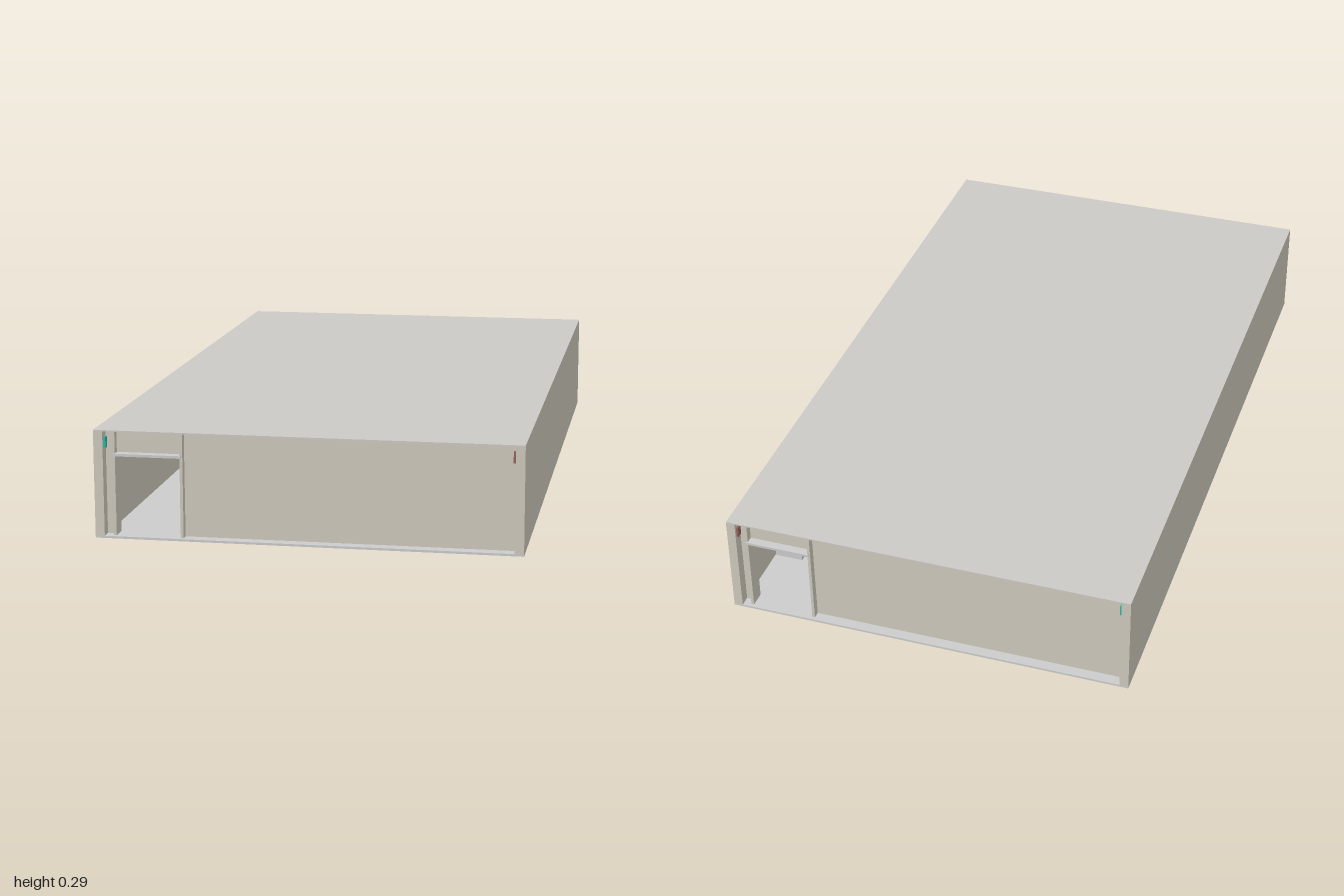
import * as THREE from 'three';

const W = 0.57, H = 0.293, FLOOR = 0.006, ROOF = 0.004, SIDE = 0.025;
const mat = (color) => new THREE.MeshStandardMaterial({ color });

export function createModel() {
  const model = new THREE.Group();
  const wall = mat(0xcfc9bb), grey = mat(0xcccccc), roofMat = mat(0xcccac5);
  const teal = mat(0x2fb5a5), red = mat(0x96605a);

  // Box given by its extents on each axis
  function box(parent, name, x0, x1, y0, y1, z0, z1, material) {
    const mesh = new THREE.Mesh(new THREE.BoxGeometry(x1 - x0, y1 - y0, z1 - z0), material);
    mesh.position.set((x0 + x1) / 2, (y0 + y1) / 2, (z0 + z1) / 2);
    mesh.name = name;
    parent.add(mesh);
    return mesh;
  }

  // Shell: floor, roof and the two long walls
  box(model, 'floor', -W, W, 0, FLOOR, -1, 1, grey);
  box(model, 'roof', -W, W, H - ROOF, H, -1, 1, roofMat);
  for (const s of [-1, 1]) {
    const side = box(model, s > 0 ? 'leftWall' : 'rightWall', -SIDE / 2, SIDE / 2, FLOOR, H - ROOF, -1, 1, wall);
    side.position.x = s * (W - SIDE / 2);
  }

  // Recessed end wall with a doorway, posts and lintel; the back one is turned half round
  const inner = W - SIDE, top = H - ROOF;
  const d0 = -0.515, d1 = -0.34, doorTop = 0.222;
  for (const end of ['front', 'back']) {
    const g = new THREE.Group();
    g.name = end + 'End';
    const shape = new THREE.Shape();
    [[-inner, FLOOR], [d0, FLOOR], [d0, doorTop], [d1, doorTop], [d1, FLOOR],
      [inner, FLOOR], [inner, top], [-inner, top]]
      .forEach(([x, y], i) => (i ? shape.lineTo(x, y) : shape.moveTo(x, y)));
    const panel = new THREE.Mesh(
      new THREE.ExtrudeGeometry(shape, { depth: 0.02, bevelEnabled: false }), wall);
    panel.position.z = 0.95;
    panel.name = 'endWall';
    g.add(panel);
    box(g, 'doorPost', d0 - 0.008, d0, FLOOR, top, 0.945, 0.99, wall);
    box(g, 'doorPost', d1, d1 + 0.008, FLOOR, top, 0.945, 0.99, wall);
    box(g, 'lintel', d0 - 0.005, d1 + 0.003, doorTop, 0.229, 0.945, 0.994, grey);
    if (end === 'back') g.rotation.y = Math.PI;
    model.add(g);

    // Small side lamps under the eaves, one colour per side
    const z = end === 'front' ? 0.985 : -0.985;
    box(model, 'tealLamp', -inner, -inner + 0.006, 0.243, 0.273, z - 0.008, z + 0.008, teal);
    box(model, 'redLamp', inner - 0.006, inner, 0.243, 0.273, z - 0.008, z + 0.008, red);
  }

  // Fittings seen through the doorways
  box(model, 'longCounter', 0.462, 0.543, -0.0005, 0.155, -0.77, 0.78, grey);
  box(model, 'smallCabinet', -0.165, -0.075, -0.0005, 0.155, -0.94, -0.82, grey);
  box(model, 'lockerRow', -0.545, -0.495, FLOOR, 0.195, -0.6, 0.2, grey);
  box(model, 'middleCounter', -0.357, -0.28, FLOOR, 0.155, -0.6, 0.6, grey);

  return model;
}
